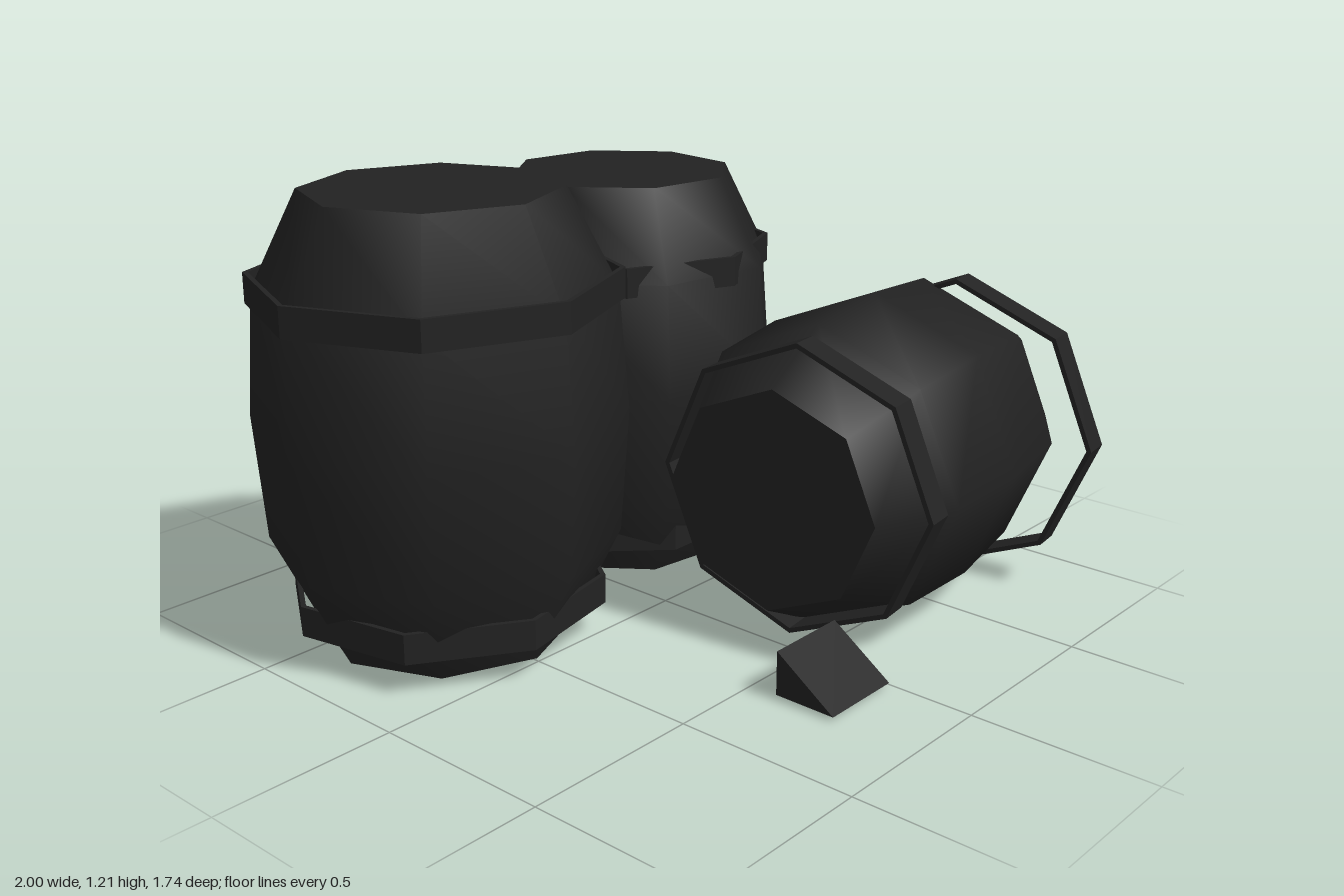
import * as THREE from 'three';

const SIDES = 8;
const darkWood = new THREE.MeshStandardMaterial({ color: 0x222222 });
darkWood.name = 'darkWood';
const rad = THREE.MathUtils.degToRad;

// Bulging eight-sided cask centred on the origin, upright, with flat heads
function barrel(name, scale) {
  const group = new THREE.Group();
  group.name = name;
  const profile = [[0.34, -0.6], [0.47, -0.34], [0.495, 0], [0.47, 0.34], [0.34, 0.6]]
    .map(([r, y]) => new THREE.Vector2(r * scale, y * scale));
  const staves = new THREE.Mesh(new THREE.LatheGeometry(profile, SIDES), darkWood);
  staves.name = 'staves';
  group.add(staves);
  for (const s of [-1, 1]) {
    const disc = new THREE.CircleGeometry(0.34 * scale, SIDES).rotateX(-s * Math.PI / 2);
    const head = new THREE.Mesh(disc, darkWood);
    head.name = s > 0 ? 'topHead' : 'bottomHead';
    head.position.y = s * 0.6 * scale;
    group.add(head);
  }
  return group;
}

// Thin flat-sided band
function hoop(name, radius, x, y, z, turn = 0) {
  const h = 0.041, t = 0.014;
  const section = [[radius, -h], [radius, h], [radius - t, h], [radius - t, -h], [radius, -h]]
    .map(([r, v]) => new THREE.Vector2(r, v));
  const geo = new THREE.LatheGeometry(section, SIDES).toNonIndexed();
  geo.computeVertexNormals();
  const mesh = new THREE.Mesh(geo, darkWood);
  mesh.name = name;
  mesh.position.set(x, y, z);
  mesh.rotation.y = rad(turn);
  return mesh;
}

// Chock with a thin edge at zThin and a tall face at zTall
function wedge(name, xRight, zThin, zTall) {
  const shape = new THREE.Shape([
    new THREE.Vector2(zThin, 0.02), new THREE.Vector2(zTall, 0.02), new THREE.Vector2(zTall, 0.14),
  ]);
  const geo = new THREE.ExtrudeGeometry(shape, { depth: 0.24, bevelEnabled: false });
  const mesh = new THREE.Mesh(geo, darkWood);
  mesh.name = name;
  mesh.rotation.y = -Math.PI / 2;
  mesh.position.x = xRight;
  return mesh;
}

export function createModel() {
  const model = new THREE.Group();
  model.name = 'barrelStack';

  // Tall upright barrel
  const tall = barrel('tallBarrel', 1);
  tall.position.set(-0.505, 0.62, -0.34);
  model.add(tall,
    hoop('tallUpperHoop', 0.487, -0.505, 0.965, -0.34),
    hoop('tallLowerHoop', 0.432, -0.505, 0.143, -0.34, -11));

  // Shorter upright barrel
  const short = barrel('shortBarrel', 0.94);
  short.position.set(0.285, 0.585, -0.425);
  short.rotation.y = rad(14.5);
  model.add(short,
    hoop('shortUpperHoop', 0.43, 0.285, 0.912, -0.425),
    hoop('shortLowerHoop', 0.405, 0.285, 0.143, -0.45, 22.5));

  // Barrel lying on its side, with loose hoops
  const lying = barrel('lyingBarrel', 0.886);
  lying.position.set(0.435, 0.448, 0.37);
  const hoops = [
    hoop('lyingLeftHoop', 0.43, 0.775, 0.448, 0.435),
    hoop('lyingRightHoop', 0.4, 0.045, 0.448, 0.43),
  ];
  for (const part of [lying, ...hoops]) part.rotation.set(0, rad(7), -Math.PI / 2);
  model.add(lying, ...hoops);

  // Chocks
  model.add(wedge('frontWedge', -0.01, 0.765, 0.59), wedge('backWedge', 0.59, 0.25, 0.42));
  return model;
}
